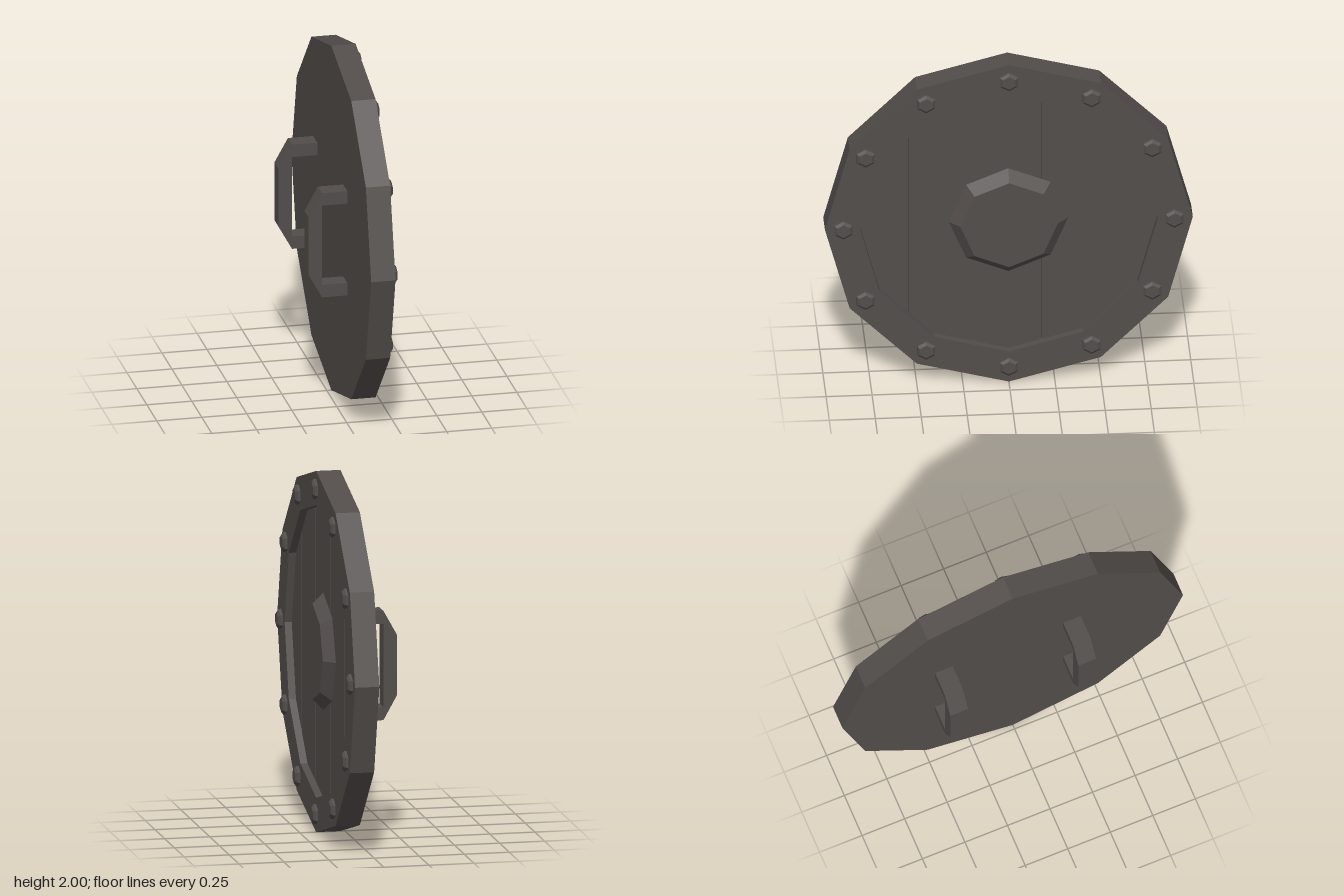
import * as THREE from 'three';

export function createModel() {
  const model = new THREE.Group();
  model.name = 'roundShield';
  const iron = new THREE.MeshStandardMaterial({ color: 0x524d4b, flatShading: true });
  iron.name = 'darkIron';

  // The shield faces +x, with its centre at y = 1
  const BACK = 0.025, FRONT = 0.16, FLOOR = 0.105, FACE = 0.12;
  const INNER = 0.81;

  const add = (name, geometry, x = 0, y = 0, z = 0) => {
    const mesh = new THREE.Mesh(geometry, iron);
    mesh.name = name;
    mesh.position.set(x, y, z);
    model.add(mesh);
    return mesh;
  };

  // Twelve-sided body: flat back, raised rim and recessed floor
  const profile = [[0, BACK], [1, BACK], [1, FRONT], [INNER, FRONT], [INNER, FLOOR], [0, FLOOR]]
    .map(([r, h]) => new THREE.Vector2(r, h));
  add('rimAndBack', new THREE.LatheGeometry(profile, 12).rotateZ(-Math.PI / 2), 0, 1, 0);

  // Planks: vertical strips trimmed to the twelve-sided recess
  const corners = Array.from({ length: 7 }, (_, i) => {
    const a = (i * Math.PI) / 6;
    return [-INNER * Math.cos(a), INNER * Math.sin(a)];
  });
  const halfHeight = (s) => {
    for (let i = 0; i < 6; i++) {
      const [a, ha] = corners[i], [b, hb] = corners[i + 1];
      if (s <= b) return Math.max(0, ha + ((hb - ha) * (s - a)) / (b - a));
    }
    return 0;
  };
  const seams = [-INNER, -0.548, -0.19, 0.175, 0.541, INNER];
  const gap = 0.007;
  for (let i = 0; i < 5; i++) {
    const lo = seams[i] + (i > 0 ? gap : 0);
    const hi = seams[i + 1] - (i < 4 ? gap : 0);
    const stops = [lo, ...corners.map((c) => c[0]).filter((s) => s > lo + 0.001 && s < hi - 0.001), hi];
    const outline = [
      ...stops.map((s) => new THREE.Vector2(s, -halfHeight(s))),
      ...stops.reverse().map((s) => new THREE.Vector2(s, halfHeight(s))),
    ].filter((p, k, all) => k === 0 || p.distanceTo(all[k - 1]) > 0.001);
    if (outline[0].distanceTo(outline[outline.length - 1]) < 0.001) outline.pop();
    const plank = new THREE.ExtrudeGeometry(new THREE.Shape(outline), { depth: FACE - FLOOR, bevelEnabled: false });
    add('plank', plank.rotateY(Math.PI / 2), FLOOR, 1, 0);
  }

  // Central boss: bevelled octagon
  const bossDepth = 0.06;
  add('boss', new THREE.CylinderGeometry(0.265, 0.325, bossDepth, 8).rotateZ(-Math.PI / 2),
    FACE + bossDepth / 2, 1, 0);

  // Hexagonal bolts around the rim, all with a corner upward
  const boltProfile = [[0.056, 0], [0.056, 0.014], [0.04, 0.026], [0, 0.026]]
    .map(([r, h]) => new THREE.Vector2(r, h));
  const bolt = new THREE.LatheGeometry(boltProfile, 6, Math.PI / 2).rotateZ(-Math.PI / 2);
  for (let i = 0; i < 12; i++) {
    const a = (i * Math.PI) / 6;
    add('rimBolt', bolt, FRONT, 1 + 0.9 * Math.cos(a), 0.9 * Math.sin(a));
  }

  // Two chamfered grips on the back
  const grip = new THREE.Shape([
    [BACK, 0.7], [BACK, 0.772], [-0.115, 0.772], [-0.115, 1.233], [BACK, 1.233],
    [BACK, 1.305], [-0.115, 1.305], [-0.19, 1.17], [-0.19, 0.835], [-0.115, 0.7],
  ].map(([x, y]) => new THREE.Vector2(x, y)));
  const gripGeometry = new THREE.ExtrudeGeometry(grip, { depth: 0.104, bevelEnabled: false });
  for (const z of [-0.405, 0.348]) add('grip', gripGeometry, 0, 0, z - 0.052);

  return model;
}
